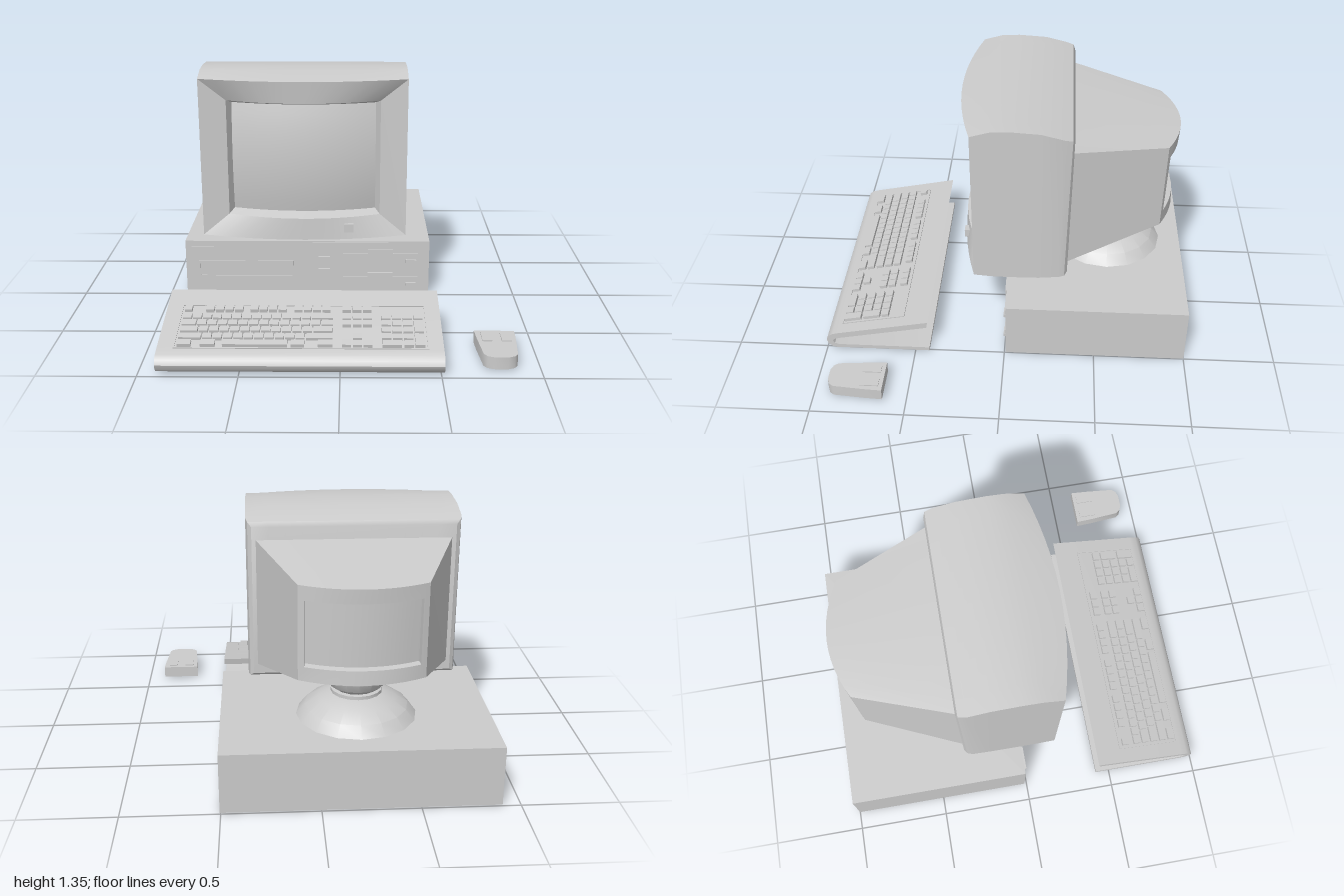
import * as THREE from 'three';
import { toCreasedNormals } from 'three/addons/utils/BufferGeometryUtils.js';

const grey = new THREE.MeshStandardMaterial({ color: 0xcccccc });
const CX = -0.205; // centre line of the monitor and system unit

function add(parent, name, geometry) {
  const mesh = new THREE.Mesh(geometry, grey);
  mesh.name = name;
  parent.add(mesh);
  return mesh;
}

// Box given by its limits on each axis
function box(parent, name, x0, x1, y0, y1, z0, z1) {
  const mesh = add(parent, name, new THREE.BoxGeometry(x1 - x0, y1 - y0, z1 - z0));
  mesh.position.set((x0 + x1) / 2, (y0 + y1) / 2, (z0 + z1) / 2);
  return mesh;
}

// Loft of rectangles [halfWidth, yBottom, yTop, zBottom, zTop, bow], closed at
// both ends; bow pushes the middle forward, bulge domes the front cap vertically.
function loft(rings, bulge = 0, N = 12) {
  const pos = [];
  const quad = (a, b, c, d) => pos.push(...a, ...b, ...c, ...a, ...c, ...d);
  const point = ([hw, y0, y1, z0, z1, bow], u, v, dome = 0) => [
    hw * u, y0 + (y1 - y0) * v,
    z0 + (z1 - z0) * v + bow * (1 - u * u) + dome * 4 * v * (1 - v)];
  const loop = (r) => {
    const pts = [];
    for (let i = 0; i <= N; i++) pts.push(point(r, -1 + 2 * i / N, 0));
    for (let i = N; i >= 0; i--) pts.push(point(r, -1 + 2 * i / N, 1));
    return pts;
  };
  for (let k = 0; k + 1 < rings.length; k++) {
    const A = loop(rings[k]), B = loop(rings[k + 1]);
    for (let j = 0; j < A.length; j++) {
      const n = (j + 1) % A.length;
      quad(A[j], A[n], B[n], B[j]);
    }
  }
  const last = rings[rings.length - 1], M = bulge ? 10 : 1;
  for (let i = 0; i < N; i++) {
    const u = -1 + 2 * i / N, w = u + 2 / N;
    quad(point(rings[0], w, 0), point(rings[0], u, 0), point(rings[0], u, 1), point(rings[0], w, 1));
    for (let j = 0; j < M; j++) {
      const v = j / M, t = (j + 1) / M;
      quad(point(last, u, v, bulge), point(last, w, v, bulge), point(last, w, t, bulge), point(last, u, t, bulge));
    }
  }
  const g = new THREE.BufferGeometry();
  g.setAttribute('position', new THREE.Float32BufferAttribute(pos, 3));
  g.computeVertexNormals();
  return toCreasedNormals(g, 0.4);
}

function createMonitor() {
  const monitor = new THREE.Group();
  monitor.name = 'monitor';
  monitor.position.x = CX;
  // Front shell, sloping bezel and domed screen
  add(monitor, 'screenHousing', loft([
    [0.53, 0.46, 1.28, -0.335, -0.35, 0],
    [0.55, 0.445, 1.305, -0.32, -0.34, 0],
    [0.56, 0.443, 1.315, -0.29, -0.3, 0],
    [0.56, 0.432, 1.345, -0.18, -0.18, 0],
    [0.56, 0.43, 1.355, -0.02, -0.02, 0],
    [0.56, 0.432, 1.35, 0.08, 0.08, 0.02],
    [0.56, 0.44, 1.32, 0.175, 0.185, 0.08],
    [0.415, 0.56, 1.2, 0.165, 0.165, 0.085],
    [0.39, 0.58, 1.18, 0.115, 0.115, 0.06]], 0.03));
  // Tapered tube housing with a curved back and a sunken rear panel
  const rear = add(monitor, 'rearHousing', loft([
    [0.515, 0.51, 1.212, 0.32, 0.33, 0],
    [0.315, 0.645, 1.14, 0.84, 0.85, 0.085],
    [0.285, 0.72, 1.065, 0.855, 0.865, 0.065],
    [0.28, 0.725, 1.06, 0.82, 0.83, 0.065]]));
  rear.rotation.y = Math.PI;
  // Power button
  box(monitor, 'powerButton', 0.22, 0.27, 0.482, 0.527, 0.2, 0.25);
  // Tilt and swivel stand
  const lathe = (name, profile) => {
    const pts = profile.map(([r, y]) => new THREE.Vector2(r, y));
    const m = add(monitor, name, toCreasedNormals(new THREE.LatheGeometry(pts, 16).toNonIndexed(), 0.4));
    m.position.z = -0.565;
  };
  lathe('standDome', [[0.315, 0.33], [0.27, 0.385], [0.2, 0.43], [0.13, 0.455], [0, 0.46]]);
  lathe('standCollar', [[0.1, 0.455], [0.135, 0.46], [0.135, 0.478], [0.1, 0.483]]);
  lathe('standBowl', [[0.1, 0.47], [0.145, 0.505], [0.17, 0.55], [0.18, 0.61], [0.18, 0.64]]);
  return monitor;
}

function createSystemUnit() {
  const unit = new THREE.Group();
  unit.name = 'systemUnit';
  box(unit, 'case', -0.905, 0.505, 0.01, 0.33, -1, -0.012);
  box(unit, 'drivePanel', -0.17, 0.495, 0.003, 0.325, -0.05, -0.007);
  // Blank bay cover with a thin frame
  frame(unit, 'bayFrame', -0.83, -0.28, 0.11, 0.21, 0.008, (x0, x1, a, b) =>
    box(unit, 'bayFrame', x0, x1, a, b, -0.02, -0.005));
  box(unit, 'badgeStrip', -0.87, -0.74, 0.285, 0.295, -0.02, 0);
  // Switches
  for (const [y0, y1] of [[0.185, 0.24], [0.12, 0.165]])
    box(unit, 'switch', -0.135, -0.07, y0, y1, -0.02, 0.006);
  // Two disk drives: slot strip, finger grip and eject button
  for (const y of [0.247, 0.105]) {
    box(unit, 'driveSlot', 0.005, 0.44, y - 0.012, y + 0.012, -0.02, 0.002);
    box(unit, 'driveGrip', 0.15, 0.295, y - 0.022, y + 0.036, -0.02, 0.006);
    box(unit, 'ejectButton', 0.37, 0.43, y - 0.045, y - 0.025, -0.02, 0.008);
  }
  return unit;
}

// Four strips round a rectangle
function frame(parent, name, x0, x1, a, b, t, strip) {
  strip(x0, x1, a, a + t);
  strip(x0, x1, b - t, b);
  strip(x0, x0 + t, a + t, b - t);
  strip(x1 - t, x1, a + t, b - t);
}

function createKeyboard() {
  const keyboard = new THREE.Group();
  keyboard.name = 'keyboard';
  // Folded body: sloping deck, round front edge and flat base plate (z, y)
  const profile = [[0.425, 0.215], [0.93, 0.114], [0.965, 0.105], [0.99, 0.088], [1, 0.063],
    [0.99, 0.035], [0.97, 0.017], [0.945, 0.01], [0.42, 0.01], [0.42, 0.032], [0.93, 0.032],
    [0.955, 0.04], [0.965, 0.056], [0.955, 0.07], [0.93, 0.078], [0.432, 0.178]];
  const shape = new THREE.Shape(profile.map(([z, y]) => new THREE.Vector2(-z, y)));
  const body = new THREE.ExtrudeGeometry(shape, { depth: 1.425, bevelEnabled: false });
  body.rotateY(Math.PI / 2).translate(-0.91, 0, 0);
  add(keyboard, 'keyboardBody', toCreasedNormals(body, 0.6));

  // Keys lie on the tilted deck
  const deck = new THREE.Group();
  deck.name = 'keys';
  const tilt = Math.atan(0.2);
  deck.position.set(0, 0.215, 0.425);
  deck.rotation.x = tilt;
  keyboard.add(deck);
  const local = (z) => (z - 0.425) / Math.cos(tilt);
  const key = (x0, x1, z, d = 0.04) =>
    box(deck, 'key', x0, x1, -0.005, 0.018, local(z) - d / 2, local(z) + d / 2);
  // Each row: z, then runs of [xStart, xEnd, keyCount]
  const rows = [
    [0.605, [-0.815, -0.77, 1], [-0.705, -0.505, 4], [-0.475, -0.28, 4], [-0.245, -0.05, 4], [0.005, 0.165, 3]],
    [0.675, [-0.815, -0.15, 13], [-0.15, -0.035, 1], [0.005, 0.165, 3], [0.205, 0.425, 4]],
    [0.727, [-0.815, -0.735, 1], [-0.735, -0.1, 12], [-0.1, -0.035, 1], [0.005, 0.165, 3], [0.205, 0.37, 3]],
    [0.78, [-0.815, -0.72, 1], [-0.72, -0.14, 11], [-0.14, -0.035, 1], [0.205, 0.37, 3]],
    [0.835, [-0.815, -0.695, 1], [-0.695, -0.175, 10], [-0.175, -0.035, 1], [0.06, 0.112, 1], [0.205, 0.37, 3]],
    [0.888, [-0.815, -0.74, 1], [-0.7, -0.62, 1], [-0.59, -0.26, 1], [-0.25, -0.175, 1], [-0.115, -0.035, 1],
      [0.005, 0.165, 3], [0.205, 0.31, 1], [0.315, 0.37, 1]]];
  for (const [z, ...runs] of rows)
    for (const [x0, x1, n] of runs)
      for (let i = 0, w = (x1 - x0) / n; i < n; i++)
        key(x0 + i * w + 0.004, x0 + (i + 1) * w - 0.004, z);
  // Tall keys at the edge of the number pad
  key(0.374, 0.421, 0.753, 0.095);
  key(0.374, 0.421, 0.861, 0.095);
  // Thin rim round the key field
  frame(deck, 'keyRim', -0.83, 0.44, local(0.565), local(0.92), 0.006, (x0, x1, a, b) =>
    box(deck, 'keyRim', x0, x1, -0.004, 0.005, a, b));
  return keyboard;
}

function createMouse() {
  const mouse = new THREE.Group();
  mouse.name = 'mouse';
  mouse.position.x = 0.8;
  // Plan outline, wide at the back and rounded at the front
  const half = [[0.105, 0.628], [0.1, 0.72], [0.085, 0.89], [0.068, 0.913], [0.035, 0.926]];
  const outline = [...half, ...half.map(([x, z]) => [-x, z]).reverse()];
  const shape = new THREE.Shape(outline.map(([x, z]) => new THREE.Vector2(x, -z)));
  const body = new THREE.ExtrudeGeometry(shape, { depth: 0.065, bevelEnabled: false });
  body.rotateX(-Math.PI / 2).translate(0, 0.013, 0);
  add(mouse, 'mouseBody', toCreasedNormals(body, 0.6));
  for (const s of [-1, 1])
    box(mouse, 'mouseButton', s * 0.05 - 0.025, s * 0.05 + 0.025, 0.07, 0.084, 0.65, 0.75);
  return mouse;
}

export function createModel() {
  const model = new THREE.Group();
  model.name = 'desktopComputer';
  model.add(createSystemUnit(), createMonitor(), createKeyboard(), createMouse());
  return model;
}
